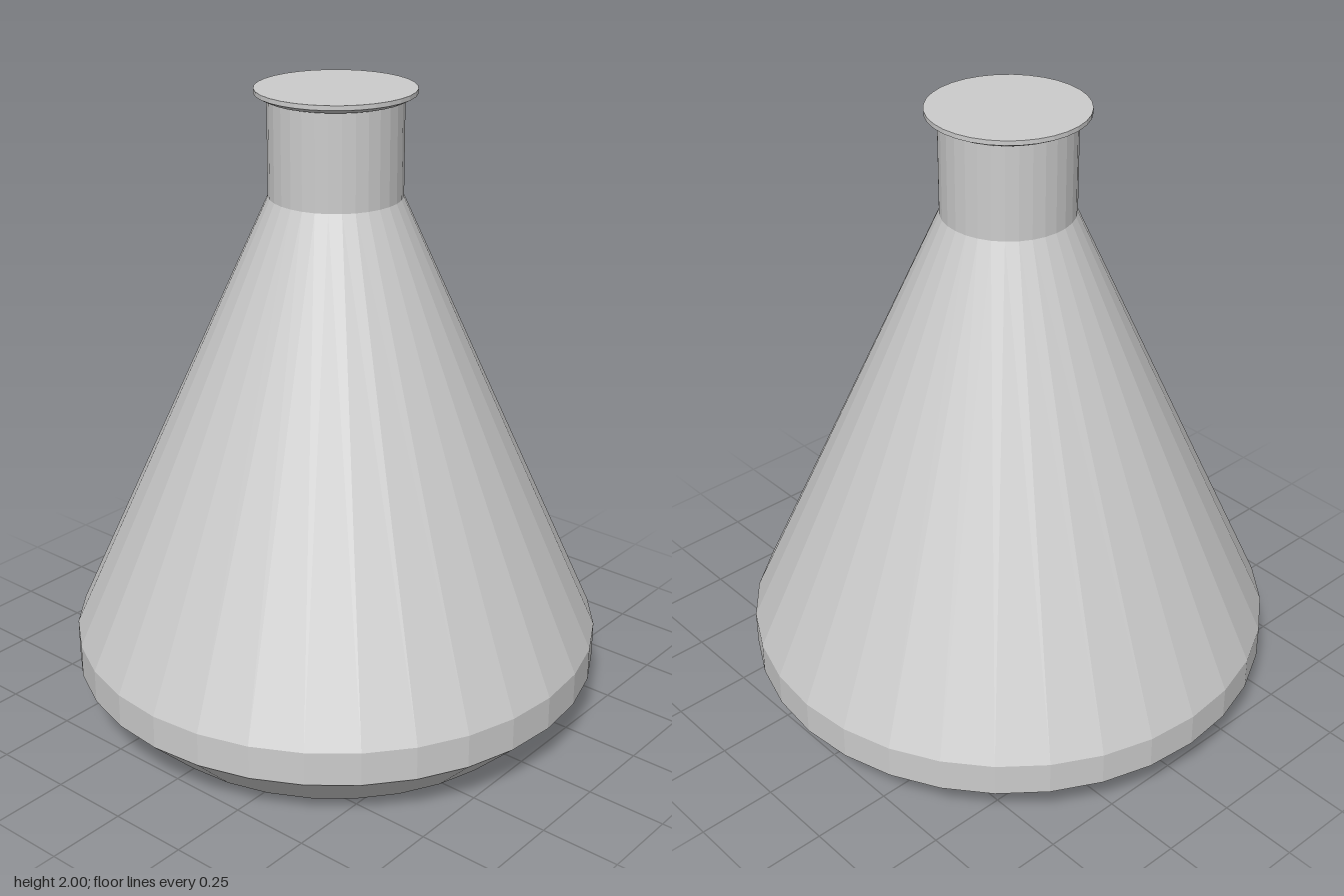
import * as THREE from 'three';

const material = new THREE.MeshStandardMaterial({ color: 0xcccccc, flatShading: true });

// Faceted solid of revolution from [radius, height] pairs, bottom to top
function turned(name, profile, segments = 32) {
  const points = profile.map(([r, y]) => new THREE.Vector2(r, y));
  const mesh = new THREE.Mesh(new THREE.LatheGeometry(points, segments), material);
  mesh.name = name;
  return mesh;
}

export function createModel() {
  const flask = new THREE.Group();
  flask.name = 'conicalFlask';

  // Closed base, bevelled foot, short wall and conical shoulder
  flask.add(turned('body', [[0, 0], [0.68, 0], [0.84, 0.157], [0.84, 0.265], [0.204, 1.675]]));

  // Straight neck
  flask.add(turned('neck', [[0.204, 1.675], [0.204, 1.972]]));

  // Flared lip with a flat closed top
  flask.add(turned('lip', [[0.204, 1.972], [0.215, 1.972], [0.242, 1.986], [0.242, 2], [0, 2]]));

  return flask;
}
